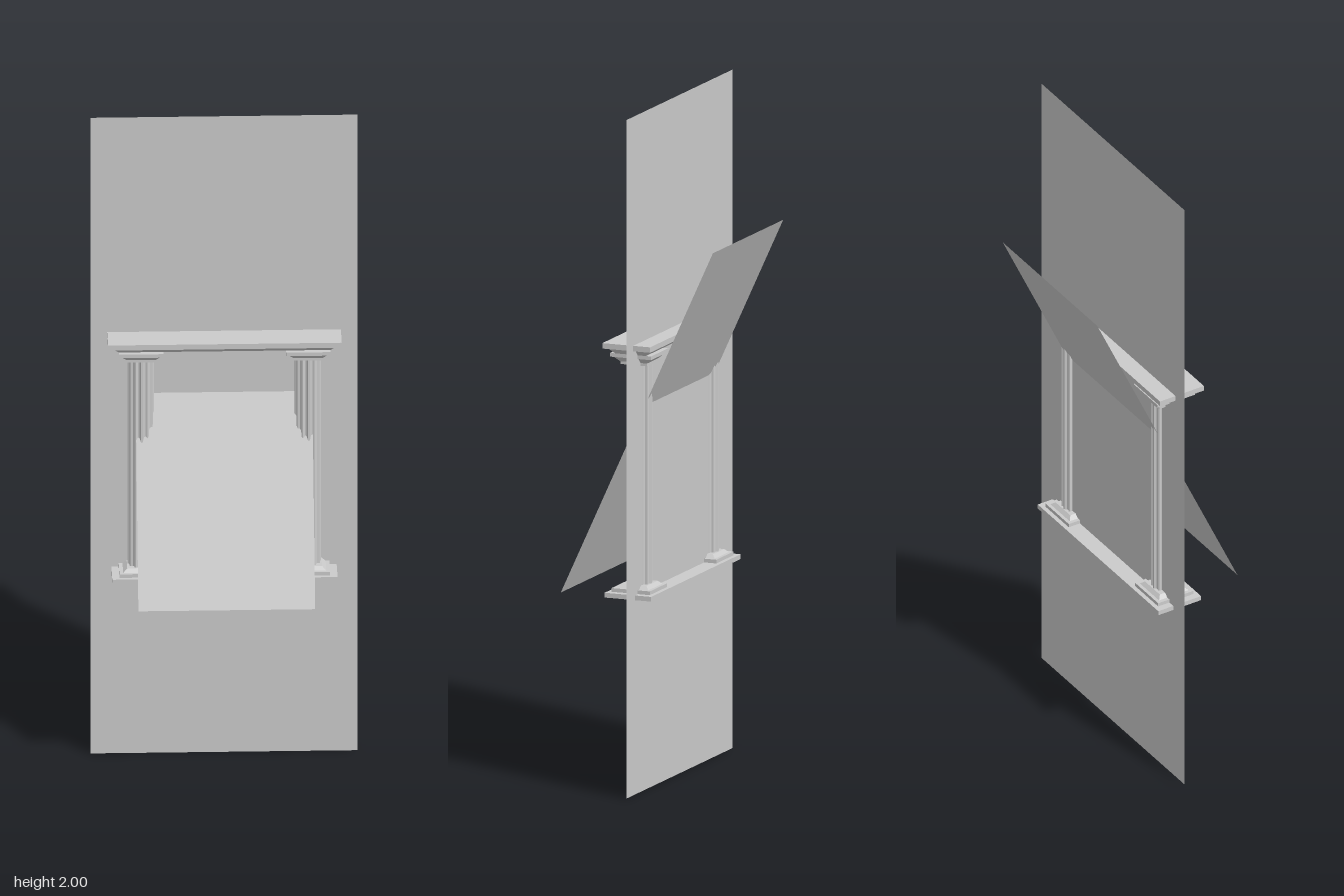
import * as THREE from 'three';

const grey = new THREE.MeshStandardMaterial({ color: 0xcccccc, flatShading: true });
const sheet = new THREE.MeshStandardMaterial({ color: 0xcccccc, side: THREE.DoubleSide });

// Rectangular slab from y0 to y1 with separate half sizes [x, z] below and above
function slab(name, y0, y1, low, high = low) {
  const geo = new THREE.BoxGeometry(2, 1, 2);
  const p = geo.attributes.position;
  for (let i = 0; i < p.count; i++) {
    const top = p.getY(i) > 0;
    const [hx, hz] = top ? high : low;
    p.setXYZ(i, p.getX(i) * hx, top ? y1 : y0, p.getZ(i) * hz);
  }
  geo.computeVertexNormals();
  const mesh = new THREE.Mesh(geo, grey);
  mesh.name = name;
  return mesh;
}

// Fluted shaft: a scalloped outline extruded upwards
function shaft(y0, y1, radius, flutes) {
  const outline = [];
  const steps = 4;
  for (let i = 0; i < flutes * steps; i++) {
    const a = (i / (flutes * steps)) * Math.PI * 2;
    const r = radius * (i % steps < 2 ? 1 : 0.86);
    outline.push(new THREE.Vector2(Math.cos(a) * r, Math.sin(a) * r));
  }
  const geo = new THREE.ExtrudeGeometry(new THREE.Shape(outline), { depth: y1 - y0, bevelEnabled: false });
  geo.rotateX(-Math.PI / 2).translate(0, y0, 0);
  const mesh = new THREE.Mesh(geo, grey);
  mesh.name = 'flutedShaft';
  return mesh;
}

function column(name, x) {
  const g = new THREE.Group();
  g.name = name;
  g.add(
    slab('plinth', 0.587, 0.598, [0.063, 0.06]),
    slab('baseMoulding', 0.598, 0.608, [0.052, 0.05], [0.04, 0.04]),
    shaft(0.6, 1.262, 0.038, 12),
    slab('neck', 1.256, 1.264, [0.042, 0.042]),
    slab('capital', 1.264, 1.28, [0.042, 0.042], [0.058, 0.058]),
    slab('abacus', 1.28, 1.291, [0.064, 0.064])
  );
  g.position.x = x;
  return g;
}

export function createModel() {
  const model = new THREE.Group();
  model.name = 'doorway';

  // Upright backing sheet through the frame
  const back = new THREE.Mesh(new THREE.PlaneGeometry(0.77, 2), sheet);
  back.name = 'uprightPanel';
  back.position.set(0, 1, -0.024);
  model.add(back);

  // Leaning sheet, low edge forward and high edge behind
  const rise = 1.04, run = 0.478;
  const leaning = new THREE.Mesh(new THREE.PlaneGeometry(0.51, Math.hypot(rise, run)), sheet);
  leaning.name = 'leaningPanel';
  leaning.position.set(0, 0.56 + rise / 2, 0);
  leaning.rotation.x = -Math.atan2(run, rise);
  model.add(leaning);

  // Frame: sill, two columns and a stepped lintel
  const frame = new THREE.Group();
  frame.name = 'frame';
  frame.add(
    slab('sill', 0.573, 0.587, [0.325, 0.073]),
    column('leftColumn', 0.241),
    column('rightColumn', -0.241),
    slab('lintelMoulding', 1.291, 1.309, [0.305, 0.048], [0.323, 0.066]),
    slab('lintelTop', 1.309, 1.325, [0.337, 0.075])
  );
  frame.position.z = -0.002;
  model.add(frame);
  return model;
}
